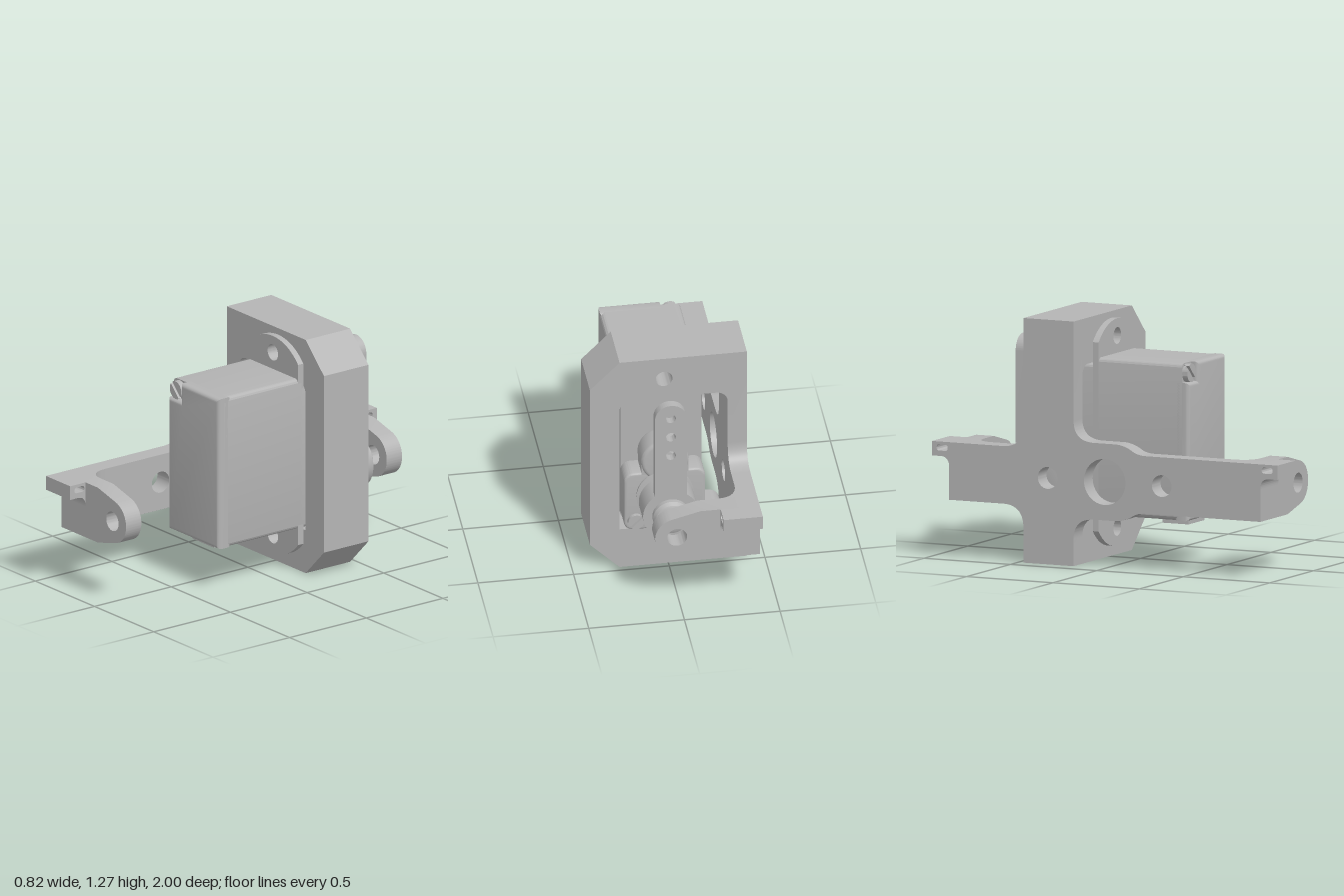
import * as THREE from 'three';
import { toCreasedNormals } from 'three/addons/utils/BufferGeometryUtils.js';

const CX = 0.022;       // servo centre line
const AXLE = 0.45;      // height of the output shaft

export function createModel() {
  const model = new THREE.Group();
  const grey = new THREE.MeshStandardMaterial({ color: 0xb4b4b4 });
  grey.name = 'grey';

  const add = (name, geometry) => {
    const mesh = new THREE.Mesh(toCreasedNormals(geometry, 0.5), grey);
    mesh.name = name;
    model.add(mesh);
    return mesh;
  };
  const poly = (pts) => new THREE.Shape(pts.map(([x, y]) => new THREE.Vector2(x, y)));
  const circle = (x, y, r) => new THREE.Shape().absarc(x, y, r, 0, Math.PI * 2);
  const hole = (shape, x, y, r) => shape.holes.push(new THREE.Path().absarc(x, y, r, 0, Math.PI * 2, true));
  const rounded = (x0, y0, x1, y1, r) => {
    const s = new THREE.Shape();
    s.absarc(x1 - r, y0 + r, r, -Math.PI / 2, 0);
    s.absarc(x1 - r, y1 - r, r, 0, Math.PI / 2);
    s.absarc(x0 + r, y1 - r, r, Math.PI / 2, Math.PI);
    s.absarc(x0 + r, y0 + r, r, Math.PI, Math.PI * 1.5);
    return s;
  };
  const extrude = (shape, depth, bevel = 0) => new THREE.ExtrudeGeometry(shape, {
    depth: depth - 2 * bevel, curveSegments: 24, bevelEnabled: bevel > 0,
    bevelSize: bevel, bevelOffset: -bevel, bevelThickness: bevel, bevelSegments: 4,
  }).translate(0, 0, bevel);
  // Extrusions along each axis between two limits
  const alongZ = (shape, z0, z1, bevel) => extrude(shape, z1 - z0, bevel).translate(0, 0, z0);
  const alongX = (shape, x0, x1) => extrude(shape, x1 - x0).rotateY(-Math.PI / 2).translate(x1, 0, 0);
  const alongY = (shape, y0, y1) => extrude(shape, y1 - y0).rotateX(Math.PI / 2).translate(0, y1, 0);
  // Turned part on an axis pointing backwards; points are [radius, z]
  const turned = (pts, x, y) => new THREE.LatheGeometry(
    pts.map(([r, z]) => new THREE.Vector2(r, -z)), 48).rotateX(-Math.PI / 2).translate(x, y, 0);

  // Mounting frame, open towards the side plate
  const frame = new THREE.Shape();
  frame.moveTo(-0.31, 1.275);
  frame.lineTo(-0.31, 0.975);
  frame.absarc(-0.25, 0.975, 0.06, Math.PI, Math.PI / 2, true);
  frame.lineTo(0.195, 1.035);
  frame.absarc(0.195, 0.975, 0.06, Math.PI / 2, 0, true);
  frame.lineTo(0.255, 0.235);
  frame.lineTo(-0.25, 0.235);
  frame.absarc(-0.25, 0.175, 0.06, Math.PI / 2, Math.PI, false);
  frame.lineTo(-0.31, 0);
  [[0.255, 0], [0.41, 0.155], [0.41, 1.12], [0.255, 1.275]].forEach(([x, y]) => frame.lineTo(x, y));
  for (const y of [0.15, 1.15]) hole(frame, CX, y, 0.044);
  add('mountingFrame', alongZ(frame, -0.47, -0.18));

  // Side plate: cross of the long bar and the frame column, outline in z and y
  const plate = new THREE.Shape();
  plate.moveTo(-0.9, 0.3);
  plate.lineTo(-0.59, 0.3);
  plate.quadraticCurveTo(-0.47, 0.3, -0.47, 0.18);
  plate.lineTo(-0.47, 0);
  plate.lineTo(-0.18, 0);
  plate.lineTo(-0.18, 0.14);
  plate.quadraticCurveTo(-0.18, 0.25, -0.06, 0.25);
  plate.lineTo(0.06, 0.25);
  plate.quadraticCurveTo(0.11, 0.25, 0.16, 0.28);
  plate.quadraticCurveTo(0.19, 0.3, 0.24, 0.3);
  plate.lineTo(0.9, 0.3);
  plate.lineTo(0.9, 0.6);
  plate.lineTo(0.24, 0.6);
  plate.quadraticCurveTo(0.19, 0.6, 0.16, 0.62);
  plate.quadraticCurveTo(0.11, 0.65, 0.06, 0.65);
  plate.lineTo(-0.06, 0.65);
  plate.quadraticCurveTo(-0.18, 0.65, -0.18, 0.76);
  plate.lineTo(-0.18, 1.275);
  plate.lineTo(-0.47, 1.275);
  plate.lineTo(-0.47, 0.72);
  plate.quadraticCurveTo(-0.47, 0.6, -0.59, 0.6);
  plate.lineTo(-0.9, 0.6);
  hole(plate, 0, AXLE, 0.12);
  for (const z of [-0.33, 0.33]) hole(plate, z, AXLE, 0.057);
  add('sidePlate', alongX(plate, -0.41, -0.31));

  // Pivot arms, fillets and slotted ledges at both ends
  for (const s of [-1, 1]) {
    const end = s > 0 ? 'front' : 'back';
    const arm = new THREE.Shape();
    arm.moveTo(-0.31, 0.3);
    arm.lineTo(-0.1, 0.3);
    arm.absarc(CX, AXLE, 0.115, -1.31, 1.31);
    arm.lineTo(-0.1, 0.6);
    arm.lineTo(-0.31, 0.6);
    hole(arm, CX, AXLE, 0.052);
    add(end + 'PivotArm', alongZ(arm, s > 0 ? 0.8 : -0.9, s > 0 ? 0.9 : -0.8));

    const fillet = new THREE.Shape();
    fillet.moveTo(-0.31, 0.69 * s);
    fillet.quadraticCurveTo(-0.31, 0.8 * s, -0.2, 0.8 * s);
    fillet.lineTo(-0.31, 0.8 * s);
    add(end + 'ArmFillet', alongY(fillet, 0.3, 0.6));

    const ledge = new THREE.Shape();
    ledge.moveTo(0.9 * s, 0.6);
    ledge.lineTo(s, 0.6);
    ledge.lineTo(s, 0.525);
    ledge.lineTo(0.95 * s, 0.525);
    ledge.quadraticCurveTo(0.9 * s, 0.525, 0.9 * s, 0.47);
    const zs = [0.908 * s, 0.972 * s].sort((a, b) => a - b);
    ledge.holes.push(rounded(zs[0], 0.553, zs[1], 0.585, 0.014));
    add(end + 'SlottedLedge', alongX(ledge, -0.41, -0.205));
  }

  // Servo case, with a front cap notched for the case screw
  const [L, R, B, T] = [-0.19, 0.235, 0.24, 1.06];
  add('servoCase', alongZ(rounded(L, B, R, T, 0.025), -0.17, 0.335));
  add('servoCaseRear', alongZ(rounded(L, B, R, 1.03, 0.025), -0.37, -0.17));
  const cap = poly([[L, B], [R, B], [R, T], [-0.085, T], [-0.085, 0.96], [L, 0.96]]);
  add('servoCap', alongZ(cap, 0.29, 0.375, 0.02));

  // Mounting flange with arched ends
  const flange = new THREE.Shape();
  flange.absarc(CX, 0.963, 0.277, 0.694, Math.PI - 0.694);
  flange.absarc(CX, 0.332, 0.277, Math.PI + 0.694, -0.694);
  for (const y of [0.15, 1.15]) hole(flange, CX, y, 0.044);
  add('servoFlange', alongZ(flange, -0.18, -0.146));

  // Cable socket under the case
  const socket = poly([[-0.065, 0.16], [0.115, 0.16], [0.115, 0.31], [-0.065, 0.31]]);
  socket.holes.push(poly([[-0.04, 0.185], [-0.04, 0.285], [0.09, 0.285], [0.09, 0.185]]));
  add('cableSocket', alongY(socket, 0.205, 0.245));

  // Gear cover: stepped lower block and upper gear tower
  add('gearCover', alongZ(rounded(L, B, R, 0.59, 0.05), -0.495, -0.36, 0.012));
  add('gearTower', alongZ(circle(CX, 0.655, 0.125), -0.505, -0.36, 0.02));
  add('gearTowerNeck', alongZ(poly([[-0.1, 0.5], [0.144, 0.5], [0.144, 0.655], [-0.1, 0.655]]), -0.495, -0.36));
  add('gearPin', alongZ(circle(CX, 0.69, 0.05), -0.525, -0.49, 0.008));

  // Slotted screws: a disc split into two halves by the slot
  const screw = (name, x, y, r, z0, z1, outward) => {
    const group = new THREE.Group();
    group.name = name;
    const a = Math.asin(0.18);
    for (const turn of [0, Math.PI]) {
      const half = new THREE.Shape().absarc(0, 0, r, a, Math.PI - a);
      group.add(new THREE.Mesh(toCreasedNormals(
        alongZ(half, z0, z1).rotateZ(turn - Math.PI / 4), 0.5), grey));
    }
    const mid = (z0 + z1) / 2;
    group.add(new THREE.Mesh(toCreasedNormals(
      alongZ(circle(0, 0, r * 0.98), outward > 0 ? z0 : mid, outward > 0 ? mid : z1), 0.5), grey));
    group.children.forEach((m) => { m.name = name + 'Part'; });
    group.position.set(x, y, 0);
    model.add(group);
  };
  screw('caseScrew', -0.138, 1.008, 0.048, 0.33, 0.365, 1);
  for (const x of [-0.13, 0.175]) screw('coverScrew', x, 0.3, 0.042, -0.515, -0.48, -1);

  // Output shaft, horn hub and domed horn screw
  add('hornHub', turned([
    [0, -0.48], [0.15, -0.48], [0.15, -0.505], [0.093, -0.515], [0.093, -0.548], [0.145, -0.548],
    [0.145, -0.69], [0.097, -0.69], [0.097, -0.715], [0.085, -0.735], [0.065, -0.744], [0, -0.744],
  ], CX, AXLE));

  // Horn lever with three linkage holes
  const lever = new THREE.Shape();
  lever.moveTo(CX - 0.083, AXLE);
  lever.lineTo(CX + 0.083, AXLE);
  lever.absarc(CX, 1.047, 0.083, 0, Math.PI);
  for (const y of [0.82, 0.935, 1.05]) hole(lever, CX, y, 0.026);
  add('hornLever', alongZ(lever, -0.692, -0.645));

  return model;
}
